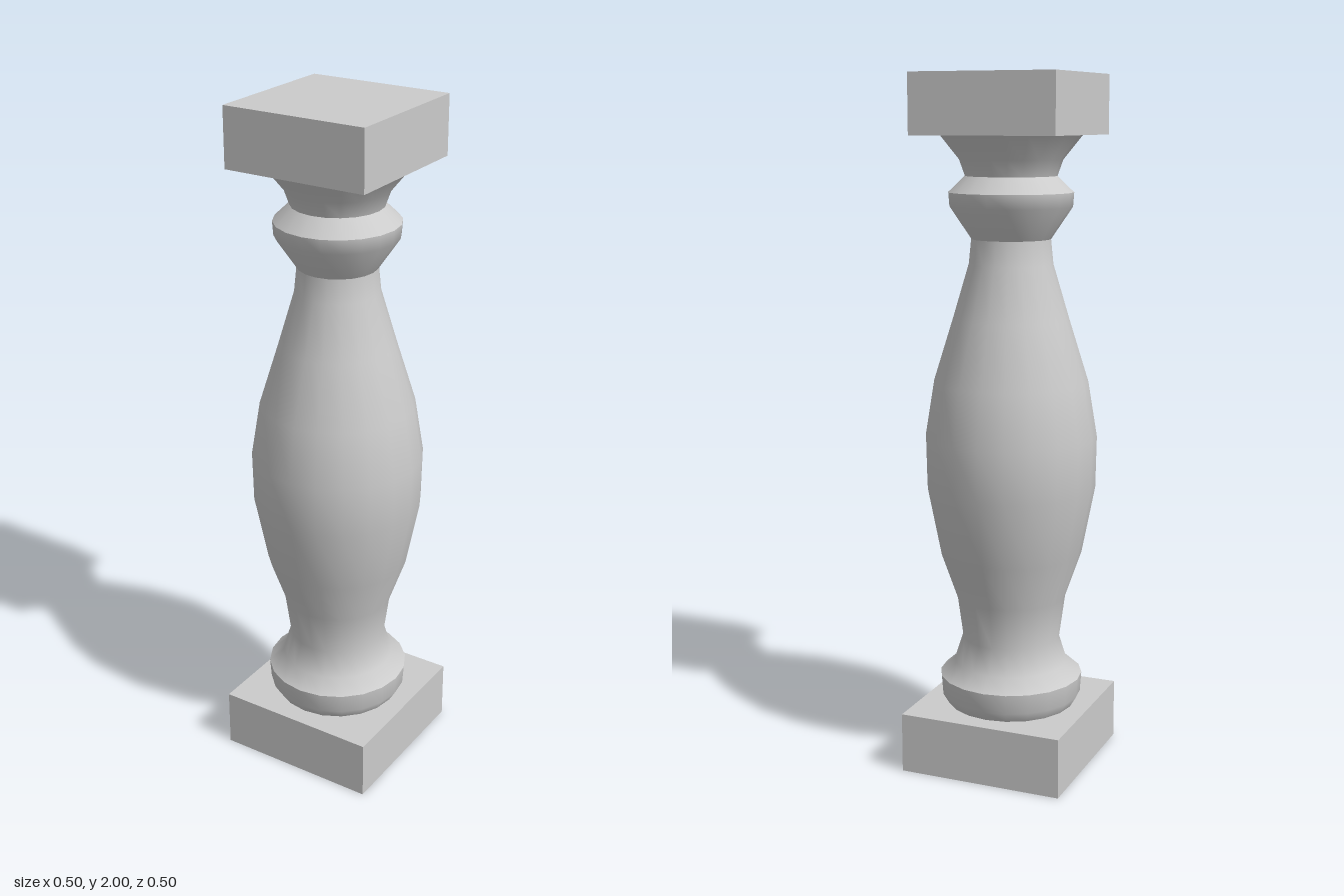
import * as THREE from 'three';

const material = new THREE.MeshStandardMaterial({ color: 0xcccccc });

// Square block standing between two heights
function block(name, size, bottom, top) {
  const mesh = new THREE.Mesh(new THREE.BoxGeometry(size, top - bottom, size), material);
  mesh.name = name;
  mesh.position.y = (bottom + top) / 2;
  return mesh;
}

// Turned section from [radius, height] pairs, bottom to top
function turned(name, profile) {
  const points = profile.map(([r, y]) => new THREE.Vector2(r, y));
  const mesh = new THREE.Mesh(new THREE.LatheGeometry(points, 20), material);
  mesh.name = name;
  return mesh;
}

export function createModel() {
  const model = new THREE.Group();
  model.name = 'baluster';

  // Square plinth and cap
  model.add(block('plinth', 0.487, 0, 0.175));
  model.add(block('capBlock', 0.427, 1.832, 2));

  // Separate sections keep the edges between them sharp
  model.add(turned('baseRing', [[0.188, 0.175], [0.206, 0.205], [0.21, 0.262]]));
  model.add(turned('vaseBody', [
    [0.21, 0.262], [0.167, 0.3], [0.143, 0.375], [0.16, 0.5], [0.207, 0.635],
    [0.245, 0.83], [0.248, 0.98], [0.222, 1.14], [0.166, 1.32], [0.12, 1.475], [0.113, 1.545],
  ]));
  model.add(turned('collarLower', [[0.113, 1.545], [0.174, 1.635], [0.177, 1.675]]));
  model.add(turned('collarUpper', [[0.177, 1.675], [0.13, 1.72]]));
  model.add(turned('neck', [[0.13, 1.72], [0.146, 1.765], [0.2, 1.832]]));

  return model;
}
